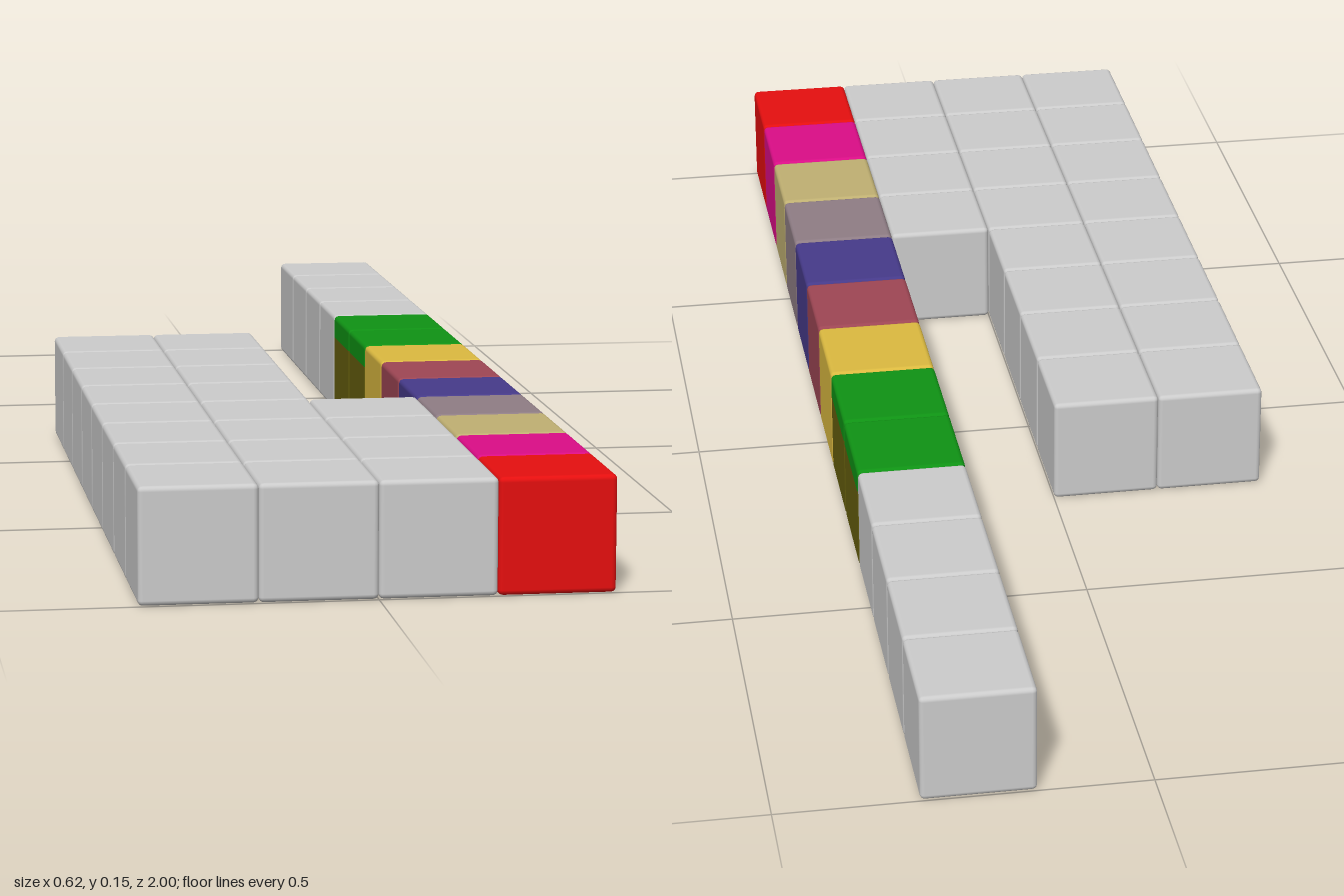
import * as THREE from 'three';
import { RoundedBoxGeometry } from 'three/addons/geometries/RoundedBoxGeometry.js';

const SIZE = 2 / 13;   // edge of one block; the long row has 13
const RADIUS = 0.007;
const TURF_Y = 0.12;   // height where soil meets turf

function material(name, color) {
  const m = new THREE.MeshStandardMaterial({ color });
  m.name = name;
  return m;
}

// Rounded block whose vertices are clamped to a height range (0 is the block's base)
function blockGeometry(low = 0, high = SIZE) {
  const g = new RoundedBoxGeometry(SIZE, SIZE, SIZE, 2, RADIUS);
  g.translate(0, SIZE / 2, 0);
  const p = g.attributes.position;
  for (let i = 0; i < p.count; i++) p.setY(i, THREE.MathUtils.clamp(p.getY(i), low, high));
  return g;
}

export function createModel() {
  const model = new THREE.Group();
  model.name = 'blockSet';

  const grey = material('plain grey', 0xcccccc);
  const green = material('turf green', 0x0f9314);
  const soil = material('soil olive', 0x665f0d);
  const painted = [
    material('red', 0xe60f0f),
    material('magenta', 0xdb0d87),
    material('tan', 0xc0b072),
    material('mauve', 0x8f7d85),
    material('indigo', 0x463a8a),
    material('rose', 0x9e4654),
    material('gold', 0xdcba40),
  ];

  const block = blockGeometry();
  const turf = blockGeometry(TURF_Y, SIZE);
  const earth = blockGeometry(0, TURF_Y);

  function add(name, geometry, mat, column, row) {
    const mesh = new THREE.Mesh(geometry, mat);
    mesh.name = name;
    mesh.position.set((column - 1.5) * SIZE, 0, 1 - (row + 0.5) * SIZE);
    model.add(mesh);
  }

  // Plain blocks: two columns of eight and one of four
  [8, 8, 4].forEach((count, column) => {
    for (let row = 0; row < count; row++) add('plainBlock', block, grey, column, row);
  });

  // Long row: painted blocks, two turf blocks, then plain blocks
  for (let row = 0; row < 13; row++) {
    if (row < painted.length) {
      add(painted[row].name + 'Block', block, painted[row], 3, row);
    } else if (row < 9) {
      add('turfTop', turf, green, 3, row);
      // Soil sides with a grey underside
      add('soilBase', earth, [soil, soil, soil, grey, soil, soil], 3, row);
    } else {
      add('plainBlock', block, grey, 3, row);
    }
  }
  return model;
}
